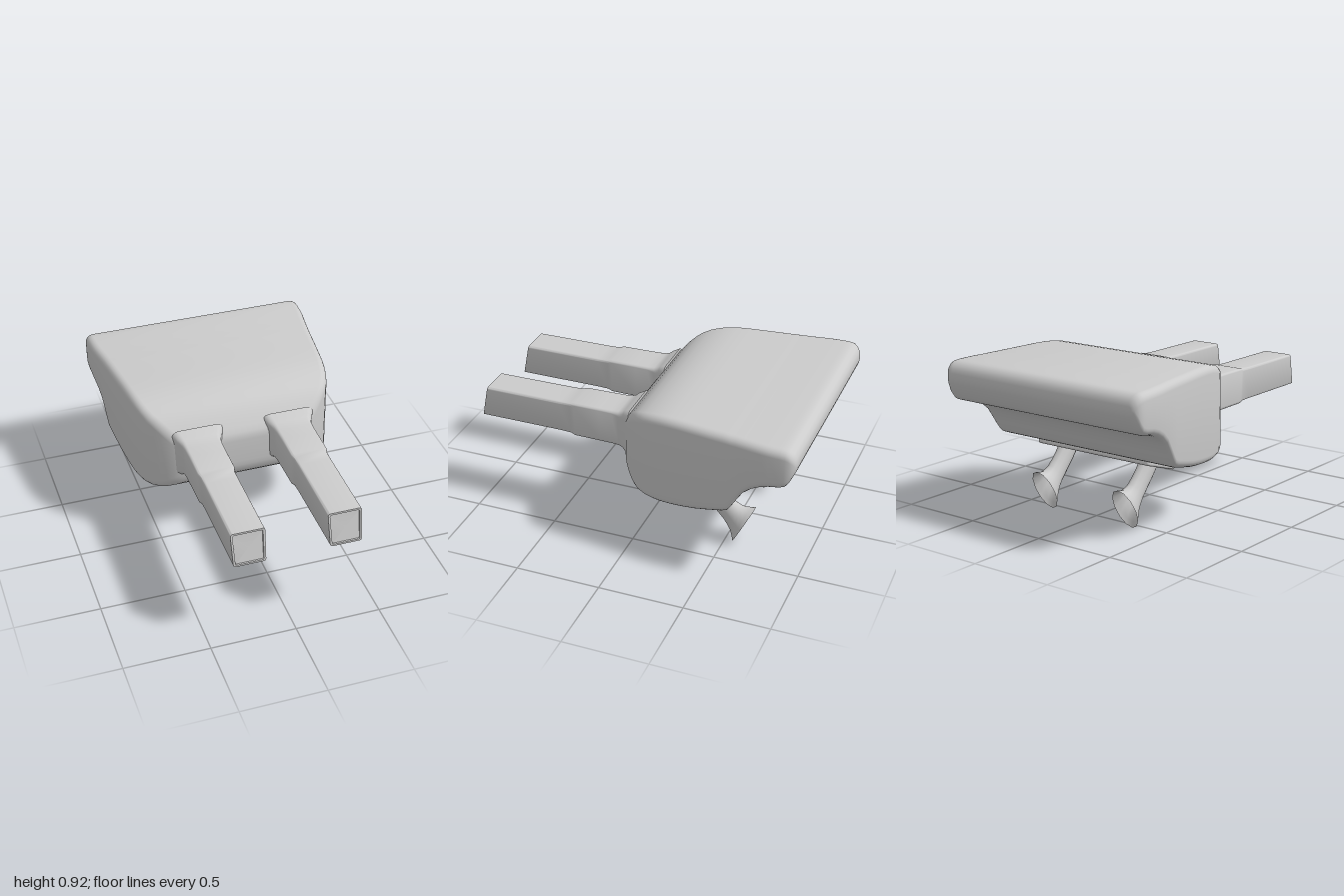
import * as THREE from 'three';
import { toCreasedNormals } from 'three/addons/utils/BufferGeometryUtils.js';
import { RoundedBoxGeometry } from 'three/addons/geometries/RoundedBoxGeometry.js';

const material = new THREE.MeshStandardMaterial({ color: 0xcccccc });
const thinMaterial = new THREE.MeshStandardMaterial({ color: 0xcccccc, side: THREE.DoubleSide });

// Skin over rings of points; rings run towards +z and turn anticlockwise seen from +z
function loft(rings, capped, crease) {
  const n = rings[0].length, index = [];
  const points = rings.flat();
  for (let i = 0; i < rings.length - 1; i++) {
    for (let j = 0; j < n; j++) {
      const k = (j + 1) % n, a = i * n, b = a + n;
      index.push(a + j, a + k, b + k, a + j, b + k, b + j);
    }
  }
  if (capped) {
    [rings[0], rings[rings.length - 1]].forEach((ring, end) => {
      const c = points.length, base = end ? (rings.length - 1) * n : 0;
      points.push(ring.reduce((s, p) => s.add(p), new THREE.Vector3()).divideScalar(n));
      for (let j = 0; j < n; j++) {
        const k = (j + 1) % n;
        index.push(c, base + (end ? j : k), base + (end ? k : j));
      }
    });
  }
  const geo = new THREE.BufferGeometry().setFromPoints(points);
  geo.setIndex(index);
  return toCreasedNormals(geo, crease);
}

// Rounded rectangle ring centred on (cx, cy); shear tilts it, taper narrows its foot
function roundedRing(cx, cy, w, h, r, z, shear = 0, taper = 0) {
  const ring = [], steps = 5;
  [[1, 1], [-1, 1], [-1, -1], [1, -1]].forEach(([sx, sy], q) => {
    for (let s = 0; s <= steps; s++) {
      const a = (q + s / steps) * Math.PI / 2;
      const x = sx * (w - r) + r * Math.cos(a), y = sy * (h - r) + r * Math.sin(a);
      ring.push(new THREE.Vector3(cx + x * (1 + taper * y / h), cy + y, z - shear * y / h));
    }
  });
  return ring;
}

function add(parent, name, geo, mat = material) {
  const mesh = new THREE.Mesh(geo, mat);
  mesh.name = name;
  parent.add(mesh);
  return mesh;
}

// Body sections: z, top, bottom, half width
const BODY = [
  [-1, .845, .805, .645], [-.995, .868, .785, .662], [-.98, .89, .75, .677], [-.96, .904, .71, .684],
  [-.94, .91, .685, .686], [-.91, .912, .674, .686], [-.85, .913, .663, .683], [-.8, .914, .645, .678],
  [-.75, .914, .617, .67], [-.7, .915, .573, .662], [-.66, .916, .51, .656], [-.63, .916, .46, .652],
  [-.61, .917, .433, .65], [-.58, .917, .42, .645], [-.5, .918, .4, .636], [-.42, .919, .382, .626],
  [-.34, .92, .37, .616], [-.26, .919, .363, .606], [-.2, .914, .36, .596], [-.15, .905, .361, .585],
  [-.1, .892, .364, .57], [-.05, .872, .372, .545], [-.02, .853, .38, .52], [.01, .828, .395, .492],
  [.04, .795, .418, .458], [.065, .765, .443, .425], [.085, .738, .475, .388], [.094, .715, .51, .35],
  [.096, .69, .54, .31],
];

// Arm sections: z, half width, half height, corner radius
const ARM = [
  [.05, .15, .15, .04], [.09, .132, .132, .035], [.105, .121, .12, .03], [.13, .113, .113, .024],
  [.17, .109, .11, .02], [.25, .107, .109, .018], [.405, .106, .107, .016],
  [.435, .097, .1, .014], [.5, .096, .098, .014], [.98, .095, .097, .014],
  // rim and shallow recess at the tip
  [.98, .083, .085, .008], [.972, .081, .083, .008],
];

// Flared foot: lower edge (z, y), upper edge (z, y), sideways radius
const FOOT = [
  [-.545, .005, -.675, .255, .075], [-.541, .04, -.645, .247, .07], [-.53, .08, -.612, .244, .061],
  [-.51, .115, -.585, .251, .054], [-.485, .15, -.56, .264, .049], [-.43, .21, -.525, .297, .046],
  [-.38, .265, -.49, .335, .046], [-.345, .31, -.46, .375, .047],
];

export function createModel() {
  const model = new THREE.Group();
  model.name = 'model';

  add(model, 'body', loft(BODY.map(([z, t, b, w]) =>
    roundedRing(0, (t + b) / 2, w, (t - b) / 2, Math.min(.045, (t - b) * .45), z)), true, 0.9));

  // Plate under the body
  const plate = add(model, 'mountingPlate', new RoundedBoxGeometry(.81, .06, .26, 3, .012));
  plate.position.set(0, .372, -.41);
  plate.rotation.x = .31;

  for (const side of [1, -1]) {
    const label = side > 0 ? 'left' : 'right';

    add(model, label + 'Arm', loft(ARM.map(([z, w, h, r], i) =>
      roundedRing(side * .275, .653, w, h, r, z, i > 8 ? .02 : 0, .03)), true, 0.7));

    add(model, label + 'Foot', loft(FOOT.map(([z0, y0, z1, y1, r]) =>
      Array.from({ length: 12 }, (_, j) => {
        const a = j / 12 * Math.PI * 2, s = Math.sin(a) / 2;
        return new THREE.Vector3(side * .295 + r * Math.cos(a),
          (y0 + y1) / 2 + (y1 - y0) * s, (z0 + z1) / 2 + (z1 - z0) * s);
      })), false, 1), thinMaterial);
  }
  return model;
}
